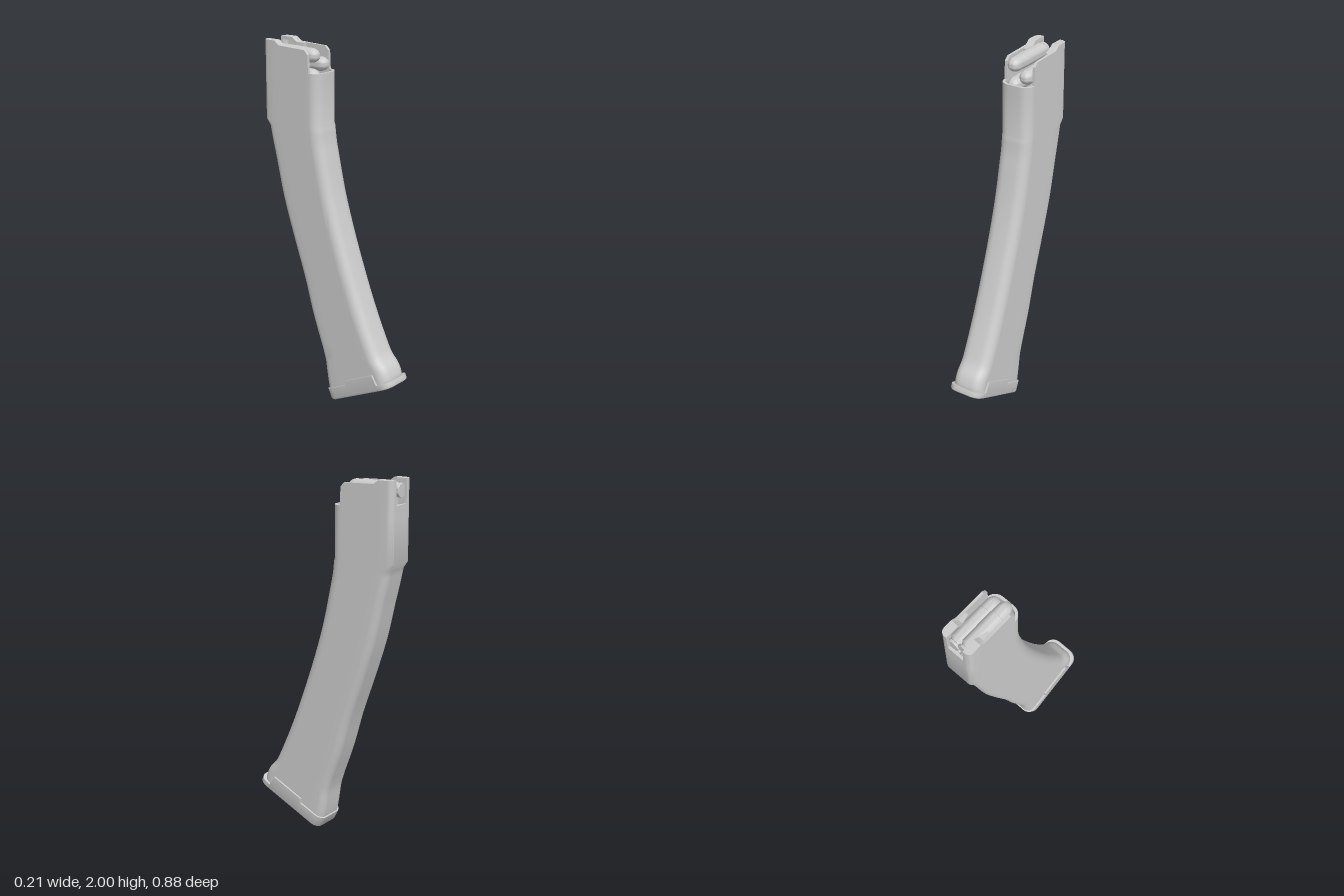
import * as THREE from 'three';
import { toCreasedNormals } from 'three/addons/utils/BufferGeometryUtils.js';

const material = new THREE.MeshStandardMaterial({ color: 0xcccccc });
const V = (x, y, z) => new THREE.Vector3(x, y, z);

function part(name, geometry, parent) {
  const mesh = new THREE.Mesh(geometry, material);
  mesh.name = name;
  parent.add(mesh);
  return mesh;
}

// Rounded rectangle as [x, q], q running from back (0) to front (depth)
function outline(halfW, depth, backR, frontR, breaks) {
  const half = [[0.049, 0], [0.051, 0]];
  const arc = (r, cq, from) => {
    for (let i = 0; i <= 6; i++) {
      const a = from + (i / 6) * Math.PI / 2;
      half.push([halfW - r + r * Math.cos(a), cq + r * Math.sin(a)]);
    }
  };
  arc(backR, backR, -Math.PI / 2);
  for (const f of breaks) half.push([halfW, backR + f * (depth - backR - frontR)]);
  arc(frontR, depth - frontR, 0);
  const mirrored = half.map(([x, q]) => [-x, q]).reverse();
  return [[0, 0], ...half, [0, depth], ...mirrored];
}

// Skin between rings, listed from the upper cap to the lower cap
function loft(rings, crease) {
  const n = rings[0].length, pos = [], index = [];
  const add = (p) => pos.push(p.x, p.y, p.z);
  rings.flat().forEach(add);
  for (let r = 0; r < rings.length - 1; r++) {
    for (let i = 0; i < n; i++) {
      const j = (i + 1) % n, a = r * n, b = a + n;
      index.push(a + i, a + j, b + j, a + i, b + j, b + i);
    }
  }
  const cap = (ring, start, up) => {
    const c = pos.length / 3;
    add(ring.reduce((s, p) => s.add(p), V(0, 0, 0)).divideScalar(n));
    for (let i = 0; i < n; i++) {
      const a = start + i, b = start + (i + 1) % n;
      index.push(c, up ? b : a, up ? a : b);
    }
  };
  cap(rings[0], 0, true);
  cap(rings[rings.length - 1], (rings.length - 1) * n, false);
  const g = new THREE.BufferGeometry();
  g.setAttribute('position', new THREE.Float32BufferAttribute(pos, 3));
  g.setIndex(index);
  return toCreasedNormals(g, crease);
}

// Height of the open mouth: low front, tall sides, notched back
function mouthHeight(x, z) {
  if (z > -0.125) return 1.85;
  if (Math.abs(x) < 0.05 && z < -0.42) return 1.87;
  if (z < -0.345) return 2;
  if (z < -0.3) return 1.978;
  return z < -0.14 ? 1.972 : 1.95;
}

function bodyGeometry() {
  const breaks = [0.174, 0.28, 0.906, 0.985];
  const frontZ = -0.065, backZ = -0.44;
  const flat = (inset, height) =>
    outline(0.094 - inset, frontZ - backZ - 2 * inset, 0.03 - inset, 0.058 - inset, breaks)
      .map(([x, q]) => {
        const z = backZ + inset + q;
        return V(x, height ?? mouthHeight(x, z), z);
      });
  // Inside floor, inside of the mouth, rim, straight upper block
  const rings = [flat(0.015, 1.6), flat(0.015), flat(0), flat(0, 1.8), flat(0, 1.565)];

  // Curved part: front z, front y, back z, back y
  const keys = [
    [-0.06, 1.55, -0.42, 1.53], [-0.05, 1.47, -0.4, 1.44], [-0.035, 1.4, -0.375, 1.34],
    [0.01, 1.2, -0.325, 1.13], [0.07, 1.0, -0.25, 0.9], [0.14, 0.8, -0.175, 0.685],
    [0.217, 0.6, -0.115, 0.48], [0.307, 0.4, -0.03, 0.24], [0.345, 0.33, -0.018, 0.17],
    [0.39, 0.28, -0.01, 0.12], [0.413, 0.23, 0, 0.07], [0.415, 0.21, 0.01, 0.04],
  ];
  const front = new THREE.CatmullRomCurve3(keys.map((k) => V(0, k[1], k[0])));
  const back = new THREE.CatmullRomCurve3(keys.map((k) => V(0, k[3], k[2])));
  const steps = (keys.length - 1) * 3;
  for (let i = 0; i <= steps; i++) {
    const F = front.getPoint(i / steps), B = back.getPoint(i / steps), depth = F.distanceTo(B);
    rings.push(outline(0.094, depth, 0.042, 0.058, breaks).map(([x, q]) => {
      const p = B.clone().lerp(F, q / depth);
      p.x = x;
      return p;
    }));
  }
  return loft(rings, 0.6);
}

// Base plate with a raised tab along each side
function plateGeometry() {
  const top = (u) => (u < 0.16 ? 0.07 : u < 0.376 ? 0.095 : 0.034);
  const ring = (inset, n) =>
    outline(0.104 - inset, 0.465 - 2 * inset, 0.05 - inset, 0.06 - inset, [0.31, 0.338, 0.92, 0.944])
      .map(([x, q]) => V(x, n ?? top(q + inset - 0.005), q + inset - 0.005));
  return loft([ring(0.02), ring(0), ring(0, 0.012), ring(0.004, 0.004), ring(0.012, 0)], 0.6);
}

// Inward feed lip, narrower towards its front end
function lipGeometry(side) {
  const shape = new THREE.Shape([
    [-0.28, 1.958], [-0.28, 1.974], [-0.33, 1.978], [-0.345, 1.988], [-0.36, 2],
    [-0.43, 2], [-0.43, 1.982], [-0.36, 1.98], [-0.335, 1.96],
  ].map(([z, y]) => new THREE.Vector2(-z, y)));
  const g = new THREE.ExtrudeGeometry(shape, { depth: 0.035, bevelEnabled: false });
  g.rotateY(Math.PI / 2);
  g.translate(side > 0 ? 0.05 : -0.085, 0, 0);
  const p = g.attributes.position;
  for (let i = 0; i < p.count; i++) {
    if (Math.abs(p.getX(i)) < 0.06 && p.getZ(i) > -0.32) p.setX(i, side * 0.061);
  }
  g.computeVertexNormals();
  return g;
}

// Rimmed round with a blunt rounded nose, pointing to the front
function roundGeometry() {
  const pts = [[0, 0], [0.036, 0], [0.038, 0.003], [0.038, 0.013], [0.031, 0.017],
    [0.031, 0.024], [0.041, 0.036], [0.041, 0.23], [0.039, 0.232], [0.039, 0.275]]
    .map(([r, y]) => new THREE.Vector2(r, y));
  for (let i = 1; i <= 8; i++) {
    const a = (i / 8) * Math.PI / 2;
    pts.push(new THREE.Vector2(0.039 * Math.cos(a), 0.275 + 0.05 * Math.sin(a)));
  }
  const g = new THREE.LatheGeometry(pts, 28);
  g.rotateX(Math.PI / 2);
  return toCreasedNormals(g, 0.5);
}

export function createModel() {
  const model = new THREE.Group();
  model.name = 'curvedMagazine';
  part('body', bodyGeometry(), model);
  part('leftFeedLip', lipGeometry(1), model);
  part('rightFeedLip', lipGeometry(-1), model);

  // Staggered stack of rounds
  const round = roundGeometry();
  for (let i = 0; i < 5; i++) {
    part('round', round, model).position.set(i % 2 ? 0.037 : -0.037, 1.938 - i * 0.055, -0.42);
  }

  // Tilted base with its locking stud
  const base = new THREE.Group();
  base.name = 'base';
  base.position.set(0, -0.003, 0.03);
  base.rotation.x = -0.443;
  part('basePlate', plateGeometry(), base);
  const stud = part('lockStud', new THREE.CylinderGeometry(0.026, 0.023, 0.03, 24), base);
  stud.position.set(0, 0, 0.295);
  stud.scale.z = 1.3;
  model.add(base);
  return model;
}
